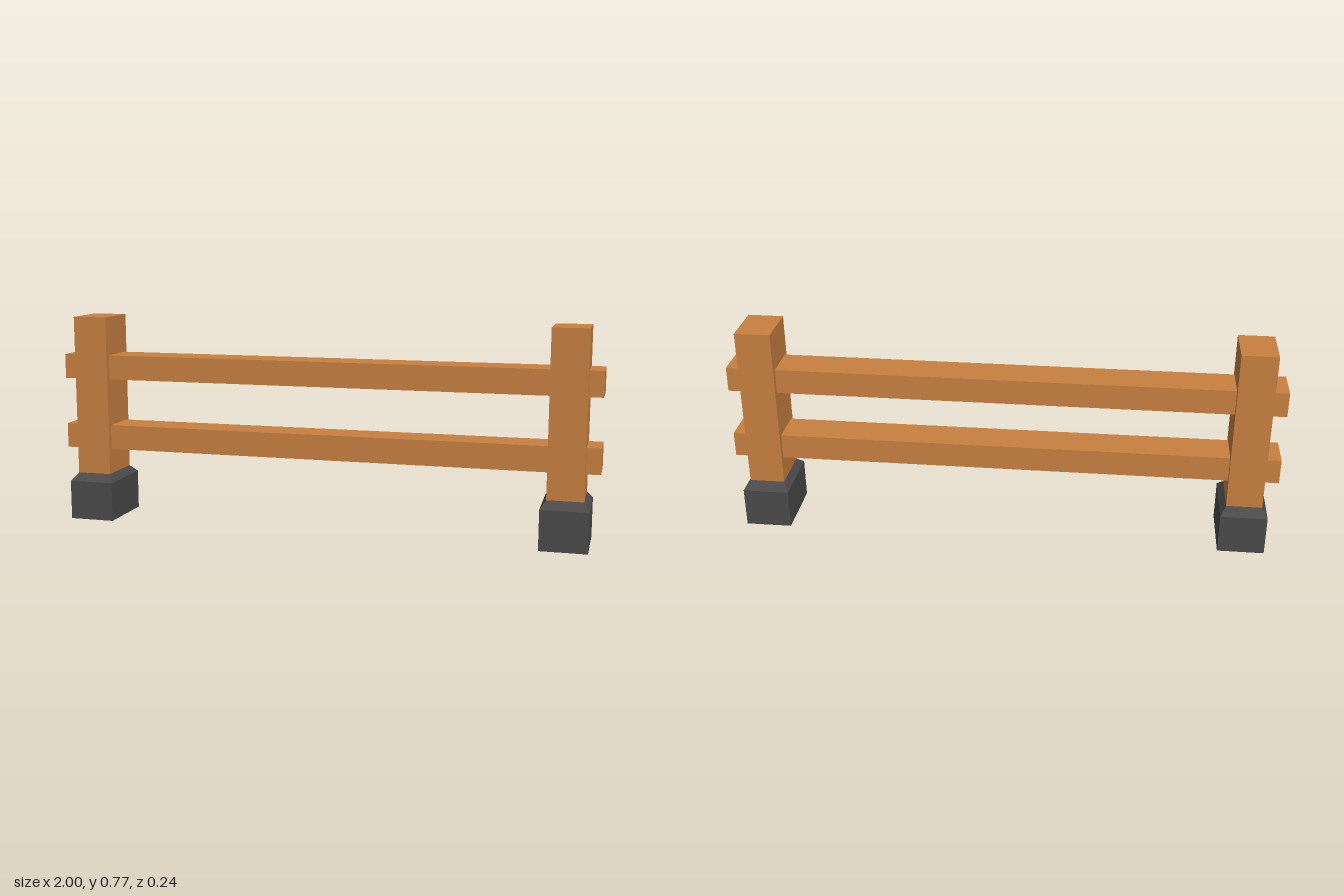
import * as THREE from 'three';

const POST_X = 0.884, POST_W = 0.129, POST_D = 0.178;
const BASE_W = 0.169, BASE_D = 0.242;
const BASE_H = 0.146, CAP_TOP = 0.174, POST_TOP = 0.77;

export function createModel() {
  const group = new THREE.Group();
  group.name = 'fence';

  const wood = new THREE.MeshStandardMaterial({ color: 0xc88040 });
  wood.name = 'wood';
  const stone = new THREE.MeshStandardMaterial({ color: 0x4a4a4a });
  stone.name = 'darkStone';

  // Box spanning y0..y1, centred on x with z = 0
  function block(name, material, x, y0, y1, width, depth) {
    const mesh = new THREE.Mesh(new THREE.BoxGeometry(width, y1 - y0, depth), material);
    mesh.name = name;
    mesh.position.set(x, (y0 + y1) / 2, 0);
    group.add(mesh);
    return mesh;
  }

  for (const [side, sign] of [['left', 1], ['right', -1]]) {
    const x = sign * POST_X;
    block(side + 'Post', wood, x, CAP_TOP, POST_TOP, POST_W, POST_D);
    block(side + 'Footing', stone, x, 0, BASE_H, BASE_W, BASE_D);

    // Sloped shoulder: a box whose top corners are drawn in to meet the post
    const shoulder = block(side + 'FootingShoulder', stone, x, BASE_H, CAP_TOP, BASE_W, BASE_D);
    const pos = shoulder.geometry.attributes.position;
    for (let i = 0; i < pos.count; i++) {
      if (pos.getY(i) > 0) {
        pos.setX(i, Math.sign(pos.getX(i)) * POST_W / 2);
        pos.setZ(i, Math.sign(pos.getZ(i)) * POST_D / 2);
      }
    }
    shoulder.geometry.computeVertexNormals();
  }

  // Rails run through both posts and stick out at the ends
  block('lowerRail', wood, 0, 0.268, 0.36, 2, 0.137);
  block('upperRail', wood, 0, 0.535, 0.626, 2, 0.137);

  return group;
}
